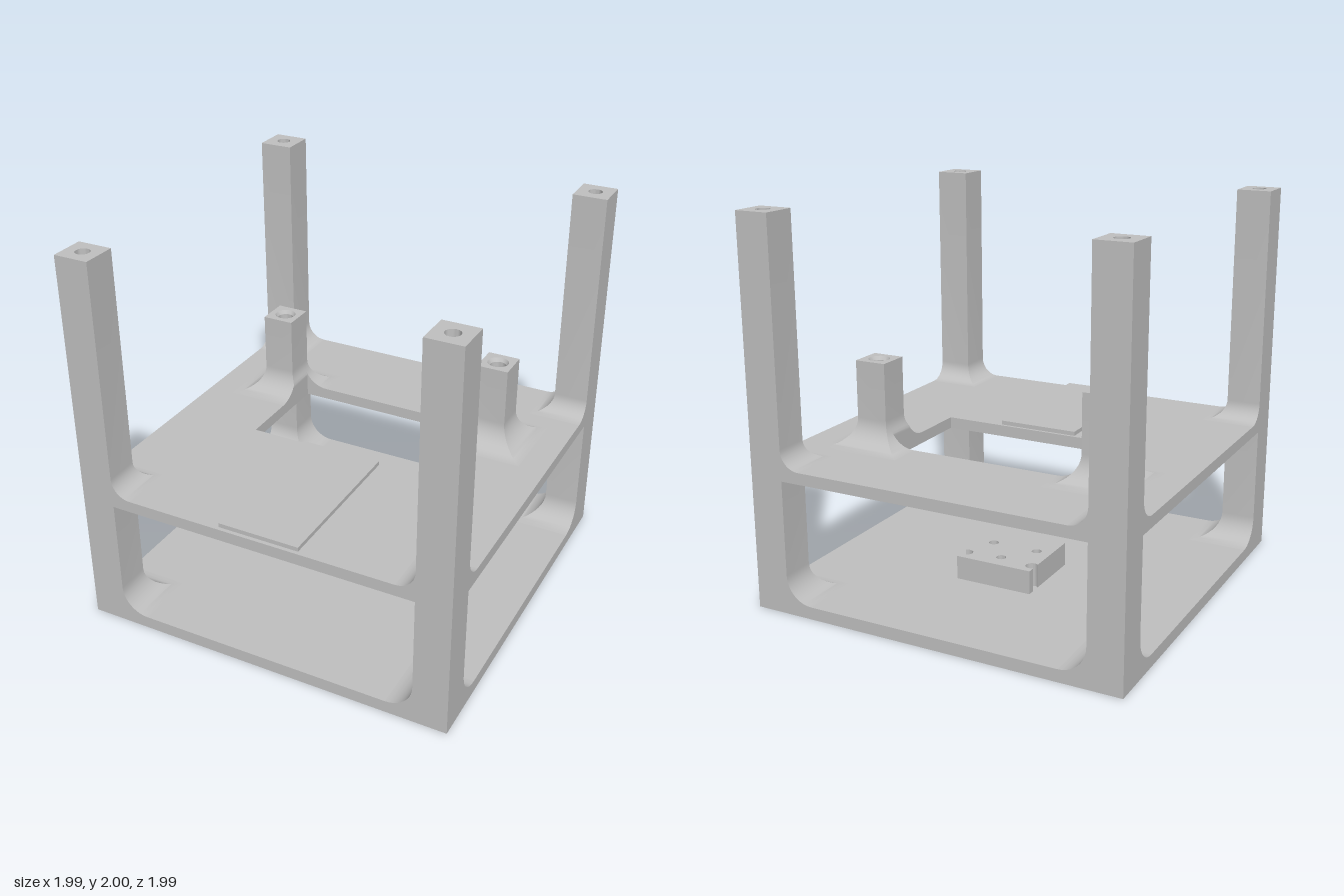
import * as THREE from 'three';
import { toCreasedNormals } from 'three/addons/utils/BufferGeometryUtils.js';

const grey = new THREE.MeshStandardMaterial({ color: 0xc0c0c0, side: THREE.DoubleSide });
grey.name = 'plain grey';

const E = 0.995;              // outer half width
const P = 0.815;              // inner face of the corner posts
const FLOOR = 0.065, DECK = 0.76, DECK_UNDER = 0.7;
const OPEN = { x: 0.525, z0: -0.45, z1: 0.12 };   // opening in the deck

function mesh(name, geometry) {
  const m = new THREE.Mesh(geometry, grey);
  m.name = name;
  return m;
}

function polygon(points) {
  return new THREE.Shape(points.map(([x, z]) => new THREE.Vector2(x, z)));
}

function rect(x0, z0, x1, z1) {
  return polygon([[x0, z0], [x1, z0], [x1, z1], [x0, z1]]);
}

function drill(shape, x, z, r) {
  shape.holes.push(new THREE.Path().absarc(x, z, r, 0, Math.PI * 2, true));
}

// Horizontal plate: the shape is drawn in x and z
function plate(shape, bottom, top) {
  const g = new THREE.ExtrudeGeometry(shape, { depth: top - bottom, bevelEnabled: false, curveSegments: 20 });
  return toCreasedNormals(g.rotateX(Math.PI / 2).translate(0, top, 0), 0.5);
}

// Skin through closed rings stacked from bottom to top
function loft(rings, reverse) {
  const n = rings[0].length, index = [];
  for (let i = 0; i < rings.length - 1; i++) {
    for (let j = 0; j < n; j++) {
      const a = i * n + j, b = i * n + (j + 1) % n, c = b + n, d = a + n;
      if (reverse) index.push(a, b, c, a, c, d);
      else index.push(a, c, b, a, d, c);
    }
  }
  const g = new THREE.BufferGeometry();
  g.setAttribute('position', new THREE.Float32BufferAttribute(rings.flat(2), 3));
  g.setIndex(index);
  return toCreasedNormals(g, 0.5);
}

// Concave fillet as [height, outward offset] pairs
function fillet(y, r, steps = 10) {
  return Array.from({ length: steps + 1 }, (_, i) => {
    const t = (i / steps) * Math.PI / 2;
    return [y + r * (1 - Math.cos(t)), r * (1 - Math.sin(t))];
  });
}

// Square top face with a round hole
function cap(x, y, z, half, r) {
  const s = rect(-half, -half, half, half);
  drill(s, 0, 0, r);
  return new THREE.ShapeGeometry(s, 20).rotateX(-Math.PI / 2).translate(x, y, z);
}

// Inner wall of a hole, profile listed from top to bottom
function bore(x, z, profile) {
  const g = new THREE.LatheGeometry(profile.map(p => new THREE.Vector2(...p)), 32);
  return toCreasedNormals(g, 0.5).translate(x, 0, z);
}

function cornerPost(sx, sz) {
  const g = new THREE.Group();
  g.name = 'cornerPost';
  const levels = [...fillet(FLOOR, 0.14), [DECK, 0], ...fillet(DECK, 0.1), [2, 0]];
  const rings = levels.map(([y, f]) => {
    const u = P - f;
    return [[u, u], [E, u], [E, E], [u, E]].map(([x, z]) => [x * sx, y, z * sz]);
  });
  const c = (P + E) / 2;
  g.add(
    mesh('postSides', loft(rings, sx * sz < 0)),
    mesh('postTop', cap(c * sx, 2, c * sz, (E - P) / 2, 0.036)),
    mesh('postBore', bore(c * sx, c * sz, [[0.036, 2], [0.036, 0.1], [0.057, 0.1], [0.057, FLOOR]])));
  return g;
}

function standoff(s) {
  const g = new THREE.Group();
  g.name = 'standoff';
  const cx = 0.628, cz = -0.4, h = 0.084, top = 1.2;
  // The flared foot is cut away where it meets the deck opening
  const rings = [...fillet(DECK, 0.14, 14), [top, 0]].map(([y, f]) => {
    const x0 = cx - h - f, x1 = cx + h + f, z0 = cz - h - f, z1 = cz + h + f;
    const a = Math.max(x0, OPEN.x);
    return [[x0, z0], [x1, z0], [x1, z1], [a, z1], [a, OPEN.z0], [x0, OPEN.z0]]
      .map(([x, z]) => [x * s, y, z]);
  });
  g.add(
    mesh('standoffSides', loft(rings, s < 0)),
    mesh('standoffTop', cap(cx * s, top, cz, h, 0.055)),
    mesh('standoffBore', bore(cx * s, cz, [[0.055, top], [0.043, top - 0.02], [0.043, 0.9], [0, 0.9]])));
  return g;
}

const SCREWS = [[0, -0.275], [-0.127, -0.122], [0.127, -0.122]];

// Block on the floor with screw holes and a round notch in each side
function mountBlock() {
  const x = 0.21, z0 = -0.365, z1 = 0.048, nx = 0.19, nz = -0.298, r = 0.033;
  const t = Math.acos((x - nx) / r), dz = r * Math.sin(t);
  const s = new THREE.Shape();
  s.moveTo(-x, z0);
  s.lineTo(x, z0);
  s.lineTo(x, nz - dz);
  s.absarc(nx, nz, r, -t, t, true);
  s.lineTo(x, z1);
  s.lineTo(-x, z1);
  s.lineTo(-x, nz + dz);
  s.absarc(-nx, nz, r, Math.PI - t, Math.PI + t, true);
  s.lineTo(-x, z0);
  SCREWS.forEach(([a, b]) => drill(s, a, b, 0.026));
  return mesh('mountBlock', plate(s, FLOOR, 0.19));
}

export function createModel() {
  const model = new THREE.Group();
  model.name = 'stackingFrame';

  // Floor with post and screw holes
  const floor = rect(-E, -E, E, E);
  const c = (P + E) / 2;
  for (const sx of [-1, 1]) for (const sz of [-1, 1]) drill(floor, c * sx, c * sz, 0.057);
  SCREWS.forEach(([x, z]) => drill(floor, x, z, 0.026));
  model.add(mesh('floorPlate', plate(floor, 0, FLOOR)));

  // Deck between the posts, with its opening
  const deck = polygon([[-P, -E], [P, -E], [P, -P], [E, -P], [E, P], [P, P],
    [P, E], [-P, E], [-P, P], [-E, P], [-E, -P], [-P, -P]]);
  deck.holes.push(rect(-OPEN.x, OPEN.z0, OPEN.x, OPEN.z1));
  model.add(mesh('deckPlate', plate(deck, DECK_UNDER, DECK)));

  // Raised pad at the front of the deck
  model.add(mesh('deckPad', plate(rect(-0.215, 0.135, 0.215, 0.975), DECK, 0.782)));

  for (const sx of [-1, 1]) {
    for (const sz of [-1, 1]) model.add(cornerPost(sx, sz));
    model.add(standoff(sx));
  }
  model.add(mountBlock());
  return model;
}
